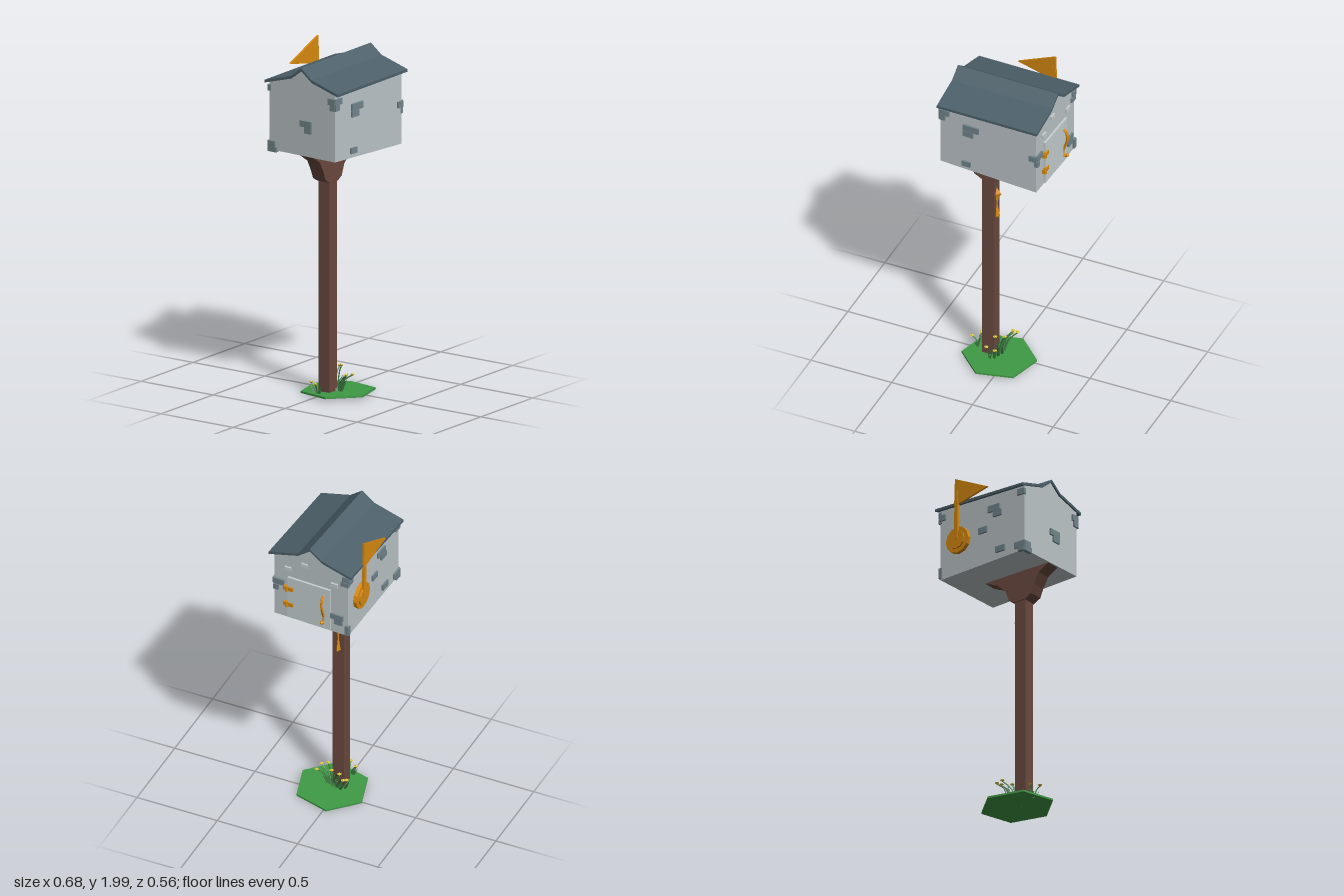
import * as THREE from 'three';

const mat = (color) => new THREE.MeshStandardMaterial({ color, flatShading: true });
const WALL = mat(0xbcc5c8), DOOR = mat(0xc6cfd1), BRICK = mat(0x72868d), ROOF = mat(0x4d616b);
const WOOD = mat(0x6b4a40), ORANGE = mat(0xd98a10), GREEN = mat(0x3f9a45), STEM = mat(0x3a7a40), YELLOW = mat(0xe0c53a);

function add(parent, name, geometry, material, x = 0, y = 0, z = 0) {
  const mesh = new THREE.Mesh(geometry, material);
  mesh.name = name;
  mesh.position.set(x, y, z);
  parent.add(mesh);
  return mesh;
}

const shapeOf = (pts) => new THREE.Shape(pts.map(([a, b]) => new THREE.Vector2(a, b)));
const extrude = (pts, depth) =>
  new THREE.ExtrudeGeometry(shapeOf(pts), { depth, bevelEnabled: false });

// Extrudes a (z, y) profile along x, then leans the box: top rises and bottom drops toward +x
function alongX(pts, x0, x1) {
  const g = extrude(pts.map(([z, y]) => [-z, y]), x1 - x0);
  g.rotateY(Math.PI / 2).translate(x0, 0, 0);
  const p = g.attributes.position;
  for (let i = 0; i < p.count; i++) {
    const y = p.getY(i);
    p.setY(i, y + p.getX(i) * (y > 1.7 ? 0.025 : -0.03));
  }
  g.computeVertexNormals();
  return g;
}

function buildHouse() {
  const house = new THREE.Group();
  house.name = 'house';
  house.rotation.y = -0.045;

  // Walls with gable ends
  add(house, 'walls', alongX([
    [-0.235, 1.43], [0.235, 1.43], [0.235, 1.845], [0.075, 1.893], [0, 1.945], [-0.075, 1.893], [-0.235, 1.845],
  ], -0.315, 0.29), WALL);

  // Flared roof sheet
  const slope = [[0.262, 1.85], [0.075, 1.903], [0, 1.961]];
  const top = [...slope, ...slope.slice(0, 2).reverse().map(([z, y]) => [-z, y])];
  const under = top.map(([z, y]) => [z, y - 0.016]).reverse();
  add(house, 'roof', alongX([...top, ...under], -0.325, 0.309), ROOF);

  // Loose bricks: [along wall, height, width, tall]
  const bricks = {
    front: [[-0.288, 1.79, 0.06, 0.036], [-0.302, 1.755, 0.035, 0.034], [-0.12, 1.73, 0.1, 0.04],
      [-0.138, 1.69, 0.064, 0.036], [-0.15, 1.477, 0.055, 0.034], [0.272, 1.655, 0.045, 0.036]],
    back: [[-0.1, 1.755, 0.085, 0.038], [-0.125, 1.717, 0.06, 0.036], [-0.02, 1.64, 0.06, 0.036],
      [-0.145, 1.49, 0.065, 0.036], [-0.285, 1.475, 0.07, 0.036], [-0.297, 1.45, 0.045, 0.03],
      [-0.295, 1.8, 0.05, 0.036], [0.272, 1.8, 0.045, 0.034]],
    doorEnd: [[0.205, 1.658, 0.065, 0.036], [0.222, 1.617, 0.03, 0.036], [0.04, 1.828, 0.04, 0.024],
      [0.145, 1.768, 0.04, 0.026], [-0.148, 1.755, 0.045, 0.028], [-0.222, 1.82, 0.04, 0.034],
      [-0.215, 1.785, 0.05, 0.03], [-0.165, 1.535, 0.08, 0.034], [-0.175, 1.502, 0.05, 0.032],
      [-0.23, 1.475, 0.025, 0.036], [-0.23, 1.445, 0.025, 0.03]],
    farEnd: [[0.03, 1.63, 0.08, 0.036], [0.045, 1.594, 0.05, 0.036], [0.215, 1.79, 0.05, 0.036],
      [0.222, 1.755, 0.036, 0.034], [-0.215, 1.475, 0.05, 0.036], [-0.21, 1.445, 0.06, 0.03]],
  };
  for (const [side, list] of Object.entries(bricks)) {
    const endX = { doorEnd: 0.29, farEnd: -0.315 }[side];
    for (const [u, y, w, h] of list) {
      if (endX !== undefined) {
        const pale = side === 'doorEnd' && h < 0.029;
        add(house, side + 'Brick', new THREE.BoxGeometry(0.022, h, w), pale ? DOOR : BRICK, endX, y, u);
      } else {
        add(house, side + 'Brick', new THREE.BoxGeometry(w, h, 0.022), BRICK, u, y, side === 'front' ? 0.235 : -0.235);
      }
    }
  }

  // Door, hinges and curled handle
  add(house, 'door', new THREE.BoxGeometry(0.026, 0.28, 0.27), DOOR, 0.29, 1.573, 0.01);
  for (const y of [1.635, 1.525]) {
    add(house, 'hinge', new THREE.BoxGeometry(0.014, 0.025, 0.058), ORANGE, 0.302, y, 0.14);
    add(house, 'hingePin', new THREE.CylinderGeometry(0.01, 0.01, 0.038, 6), ORANGE, 0.306, y, 0.15);
  }
  const handle = [[0.298, 1.655], [0.316, 1.648], [0.326, 1.6], [0.315, 1.555], [0.3, 1.515], [0.3, 1.485], [0.314, 1.472], [0.326, 1.487]];
  const path = new THREE.CatmullRomCurve3(handle.map(([x, y]) => new THREE.Vector3(x, y, -0.083)));
  add(house, 'handle', new THREE.TubeGeometry(path, 20, 0.008, 6), ORANGE);
  for (const i of [0, handle.length - 1])
    add(house, 'handleEnd', new THREE.IcosahedronGeometry(0.011), ORANGE, handle[i][0], handle[i][1], -0.083);

  // Signal flag on a two-step round mount
  const flag = new THREE.Group();
  flag.name = 'flag';
  flag.position.set(0.153, 1.625, -0.235);
  const disc = (name, r, z0, z1) =>
    add(flag, name, new THREE.CylinderGeometry(r, r, z0 - z1, 12).rotateX(Math.PI / 2), ORANGE, 0, 0, (z0 + z1) / 2);
  disc('flagMount', 0.08, 0.01, -0.024);
  disc('flagCap', 0.056, -0.02, -0.034);
  const arm = new THREE.Group();
  arm.name = 'flagArm';
  arm.position.z = -0.034;
  arm.rotation.y = -0.04;
  add(arm, 'flagPole', extrude([[-0.015, 0], [0.015, 0], [0.006, 0.3], [-0.016, 0.3]], 0.014), ORANGE, 0, 0, -0.002);
  add(arm, 'flagPennant', extrude([[0.006, 0.375], [-0.235, 0.257], [-0.012, 0.212], [0.012, 0.212]], 0.012), ORANGE, 0, 0, -0.001);
  flag.add(arm);
  house.add(flag);
  return house;
}

function buildFlowers() {
  const flowers = new THREE.Group();
  flowers.name = 'flowers';
  // Stems: root x, z, then head x, y, z
  const stems = [
    [-0.05, 0.03, 0.01, 0.165, -0.03], [-0.04, 0.0, 0.025, 0.14, -0.06], [-0.06, -0.02, -0.01, 0.12, -0.065],
    [-0.06, 0.05, -0.055, 0.17, 0.07], [-0.08, 0.07, -0.085, 0.125, 0.125], [-0.06, 0.06, -0.03, 0.12, 0.13],
    [-0.05, 0.02, -0.015, 0.155, 0.03], [-0.19, 0.0, -0.225, 0.085, 0.01], [-0.19, -0.01, -0.19, 0.085, -0.04],
  ];
  for (const [x, z, hx, hy, hz] of stems) {
    const curve = new THREE.QuadraticBezierCurve3(
      new THREE.Vector3(x, 0.015, z), new THREE.Vector3(x, hy * 0.7, z), new THREE.Vector3(hx, hy, hz));
    add(flowers, 'stem', new THREE.TubeGeometry(curve, 5, 0.004, 4), STEM);
    add(flowers, 'petals', new THREE.ConeGeometry(0.013, 0.012, 6).rotateX(Math.PI), YELLOW, hx, hy, hz);
    add(flowers, 'flowerCentre', new THREE.IcosahedronGeometry(0.007), YELLOW, hx, hy + 0.007, hz);
    // Two leaf blades per stem
    for (const s of [-1, 1]) {
      const leaf = add(flowers, 'leaf', new THREE.ConeGeometry(0.009, hy * 0.75, 4).translate(0, hy * 0.375, 0), STEM, x, 0.02, z + s * 0.012);
      leaf.rotation.set(s * 0.45, 0, (x - hx) * 4);
    }
  }
  return flowers;
}

export function createModel() {
  const model = new THREE.Group();
  model.name = 'mailbox';

  // Hexagonal grass patch, slightly tilted
  const ground = add(model, 'grass', new THREE.CylinderGeometry(0.215, 0.215, 0.011, 6, 1, false, 0.8), GREEN, -0.043, 0.02, 0.04);
  ground.rotation.set(-0.03, 0, -0.025);

  // Post and curved bracket
  add(model, 'post', new THREE.BoxGeometry(0.074, 1.405, 0.074), WOOD, -0.108, 0.7225, 0.015);
  add(model, 'bracket', extrude([
    [-0.31, 1.437], [-0.245, 1.395], [-0.21, 1.33], [-0.19, 1.28], [-0.145, 1.255], [-0.07, 1.255],
    [-0.035, 1.275], [-0.01, 1.34], [0.045, 1.39], [0.14, 1.43],
  ], 0.088), WOOD, 0, 0, -0.029);

  // Pinched ornament on the post
  const pinch = [[0, 0.97], [0.02, 0.99], [0.004, 1.075], [0.012, 1.12], [0.027, 1.15], [0, 1.187]];
  const ornament = new THREE.LatheGeometry(pinch.map(([r, y]) => new THREE.Vector2(r, y)), 4);
  add(model, 'ornament', ornament.scale(1.1, 1, 0.7), ORANGE, -0.071, 0, 0.015);

  model.add(buildHouse(), buildFlowers());
  return model;
}
